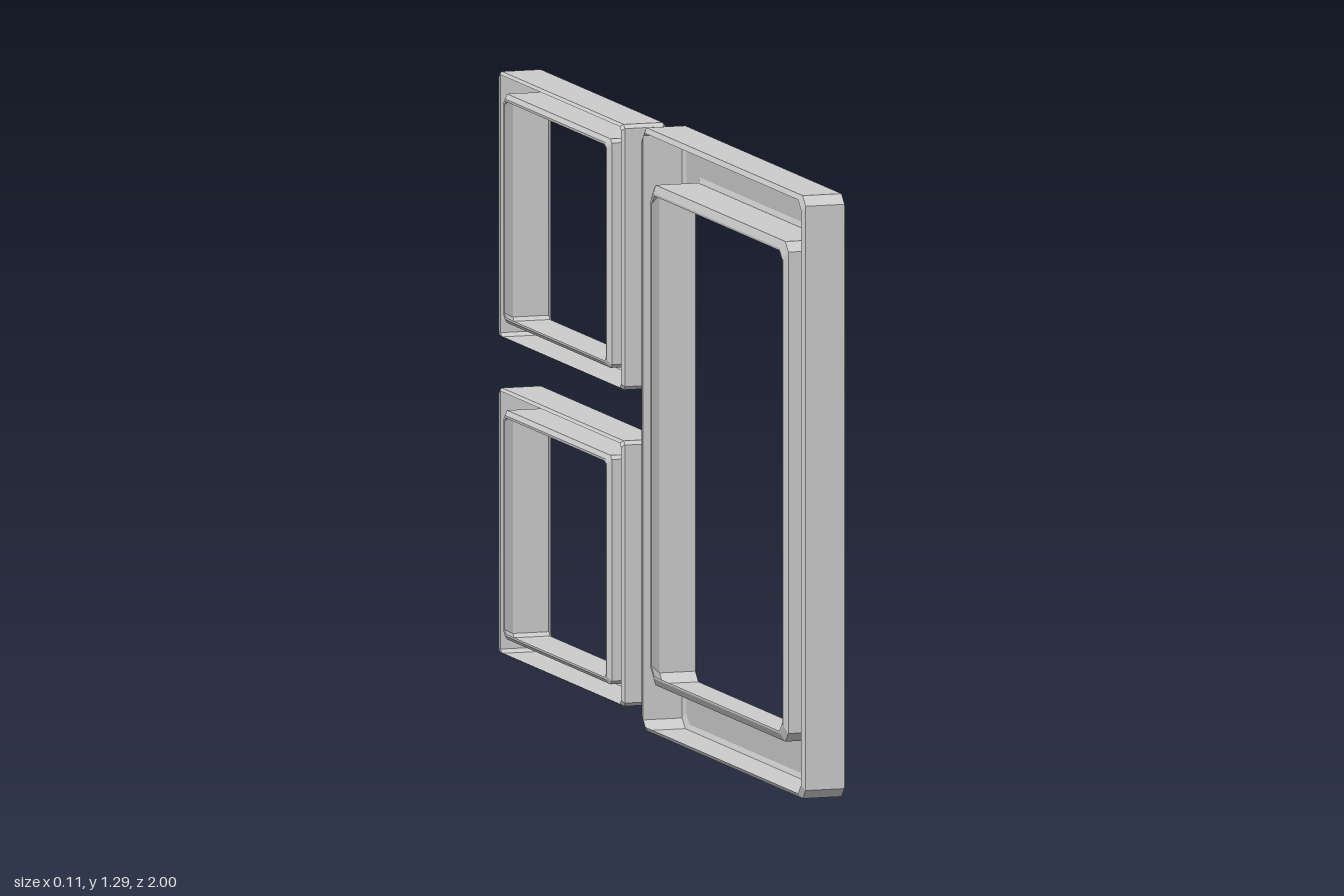
import * as THREE from 'three';

// Octagonal loop (rectangle with cut corners), counter-clockwise seen from +x
function loop(x, hw, hh, c) {
  return [
    [hw, -hh + c], [hw, hh - c], [hw - c, hh], [-hw + c, hh],
    [-hw, hh - c], [-hw, -hh + c], [-hw + c, -hh], [hw - c, -hh],
  ].map(([u, v]) => [x, v, -u]);
}

// Hollow moulding: sweeps a section of [x, side inset, top inset] round a rectangle
function frame(name, width, height, cut, section) {
  const rings = section.map(([x, iz, iy]) => loop(x, width / 2 - iz, height / 2 - iy, cut));
  const pos = [];
  for (let i = 0; i < rings.length - 1; i++) {
    for (let j = 0; j < 8; j++) {
      const k = (j + 1) % 8;
      const a = rings[i][j], b = rings[i][k], c = rings[i + 1][k], d = rings[i + 1][j];
      pos.push(...a, ...b, ...c, ...a, ...c, ...d);
    }
  }
  const geo = new THREE.BufferGeometry();
  geo.setAttribute('position', new THREE.Float32BufferAttribute(pos, 3));
  geo.computeVertexNormals();
  const mat = new THREE.MeshStandardMaterial({
    color: 0xcccccc, flatShading: true, side: THREE.DoubleSide,
  });
  const mesh = new THREE.Mesh(geo, mat);
  mesh.name = name;
  return mesh;
}

// Section from the back edge, over the face, into the opening and round the back lip.
// (fz, fy): inset where the face ends; (oz, oy): inset of the clear opening; b: outer bevel
function section(fz, fy, oz, oy, b, e) {
  return [
    [-0.048, b, b], [-0.041, 0, 0], [0.046, 0, 0], [0.052, b, b],
    [0.052, fz, fy], [0.045, fz + e, fy + e], [-0.035, fz + e, fy + e],
    [-0.058, oz, oy], [-0.058, oz - 0.005, oy - 0.005],
    [-0.05, fz + e - 0.003, fy + e - 0.003], [0.045, fz + e - 0.003, fy + e - 0.003],
  ];
}

export function createModel() {
  const group = new THREE.Group();
  group.name = 'windowFrames';

  // Large frame at the front
  const large = frame('largeFrame', 1.065, 1.29, 0.02,
    section(0.077, 0.1, 0.103, 0.131, 0.01, 0.013));
  large.position.set(0, 0.645, 0.4675);
  group.add(large);

  // Two small frames stacked behind it
  [['lowerSmallFrame', 0.315], ['upperSmallFrame', 0.992]].forEach(([name, y]) => {
    const small = frame(name, 0.815, 0.568, 0.008,
      section(0.057, 0.036, 0.075, 0.053, 0.005, 0.006));
    small.position.set(0, y, -0.5925);
    group.add(small);
  });

  return group;
}
